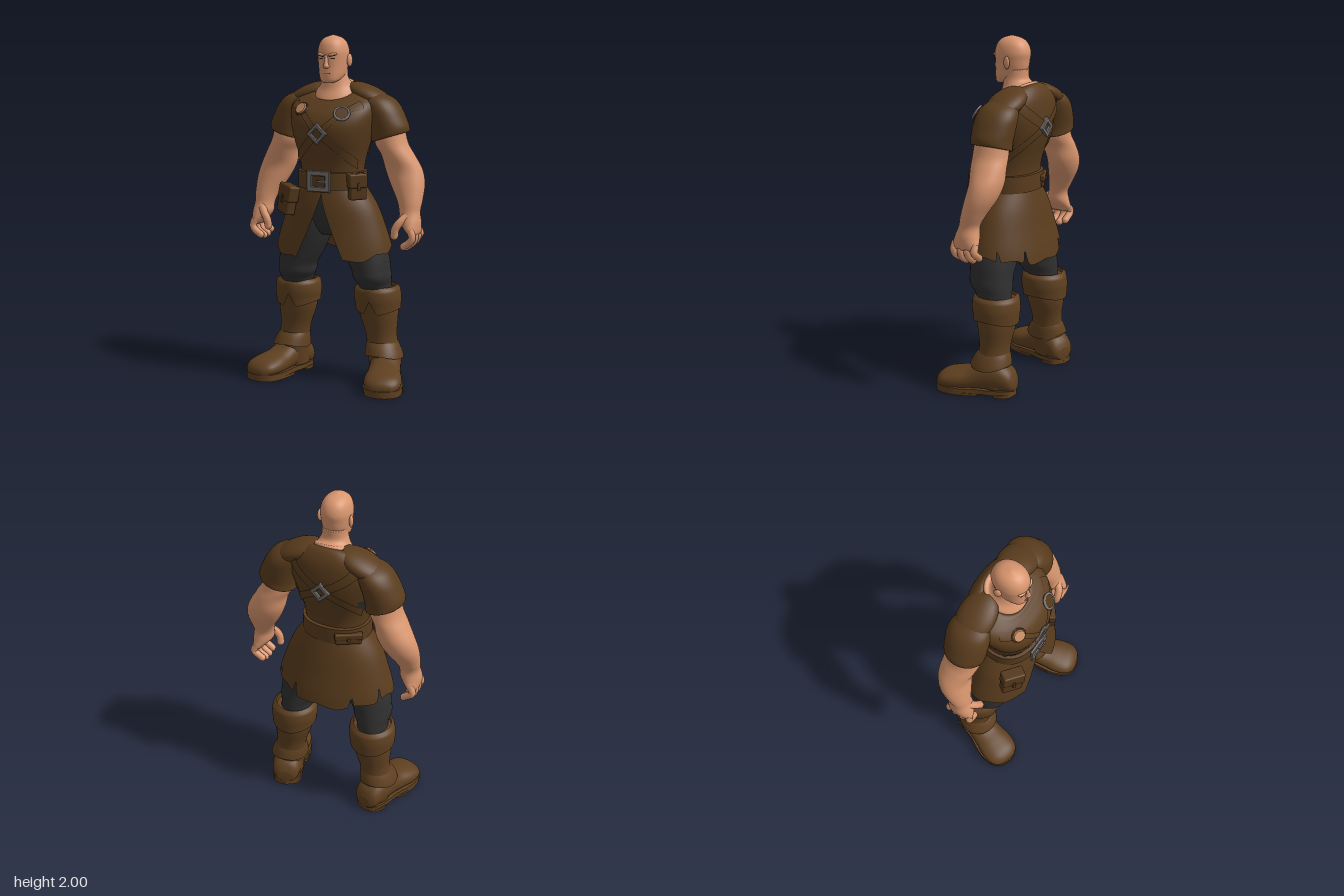
import * as THREE from 'three';
import { toCreasedNormals } from 'three/addons/utils/BufferGeometryUtils.js';
import { RoundedBoxGeometry } from 'three/addons/geometries/RoundedBoxGeometry.js';

const mat = (name, color, side = THREE.FrontSide) => Object.assign(new THREE.MeshStandardMaterial({ color, side }), { name });
const skin = mat('skin', 0xd9966f);
const tunicCloth = mat('tunic leather', 0x5a3c1d, THREE.DoubleSide);
const bootLeather = mat('boot leather', 0x5f4020, THREE.DoubleSide);
const darkLeather = mat('dark leather', 0x53371a, THREE.DoubleSide);
const cloth = mat('charcoal cloth', 0x303030, THREE.DoubleSide);
const metal = mat('grey metal', 0x787270);
const copper = mat('copper', 0xc58a62);
const dark = mat('dark hair', 0x2e1c14);
const lip = mat('lip', 0xa9664c);

// Smooth body surface through rings [x, y, z, rx, rz, slopeZ, slopeX]
function surface(rings, p = 1) {
  const n = rings.length - 1;
  const pw = (v) => Math.sign(v) * Math.abs(v) ** p;
  const ring = (t) => {
    const i = Math.min(n - 1, Math.floor(t * n)), f = t * n - i;
    const g = (k, c) => rings[Math.max(0, Math.min(n, k))][c] ?? 0;
    return [0, 1, 2, 3, 4, 5, 6].map((c) => {
      const a = g(i - 1, c), b = g(i, c), d = g(i + 1, c), e = g(i + 2, c);
      return b + 0.5 * f * (d - a + f * (2 * a - 5 * b + 4 * d - e + f * (3 * (b - d) + e - a)));
    });
  };
  const at = (t, a) => {
    const [x, y, z, rx, rz, tz, tx] = ring(t);
    const dx = rx * pw(Math.sin(a)), dz = rz * pw(Math.cos(a));
    return new THREE.Vector3(x + dx, y - tz * dz + tx * dx, z + dz);
  };
  const up = rings[n][1] > rings[0][1];
  const atY = (y, a) => {
    let lo = 0, hi = 1;
    for (let k = 0; k < 24; k++) {
      const m = (lo + hi) / 2;
      if ((ring(m)[1] < y) === up) lo = m; else hi = m;
    }
    return at(lo, a);
  };
  return { at, atY, ring, up };
}

function build(points, index) {
  const g = new THREE.BufferGeometry().setFromPoints(points);
  g.setIndex(index);
  g.computeVertexNormals();
  return g;
}

// Closed, capped body through rings
function loft(rings, { n = 32, steps = 5, p = 1 } = {}) {
  const s = surface(rings, p), rows = (rings.length - 1) * steps, pts = [], idx = [];
  const tri = (a, b, c) => (s.up ? idx.push(a, b, c) : idx.push(a, c, b));
  for (let i = 0; i <= rows; i++) for (let j = 0; j < n; j++) pts.push(s.at(i / rows, (j / n) * Math.PI * 2));
  for (const t of [0, 1]) { const r = s.ring(t); pts.push(new THREE.Vector3(r[0], r[1], r[2])); }
  const last = rows * n, c = pts.length - 2;
  for (let j = 0; j < n; j++) {
    const k = (j + 1) % n;
    for (let i = 0; i < rows; i++) {
      const a = i * n + j, b = i * n + k;
      tri(a, b, a + n);
      tri(b, b + n, a + n);
    }
    tri(c, k, j);
    tri(c + 1, last + j, last + k);
  }
  return build(pts, idx);
}

// Open sheet: fn(u, v) gives points, u and v in 0..1
function sheet(fn, cols, rows) {
  const pts = [], idx = [];
  for (let i = 0; i <= rows; i++) for (let j = 0; j <= cols; j++) pts.push(fn(j / cols, i / rows));
  for (let i = 0; i < rows; i++) for (let j = 0; j < cols; j++) {
    const a = i * (cols + 1) + j, b = a + cols + 1;
    idx.push(a, b, a + 1, a + 1, b, b + 1);
  }
  return build(pts, idx);
}

// Hanging cloth with a shaped hem and an optional opening at the front
function drape(rings, top, hem, gap = () => 0, cols = 72, rows = 10) {
  const s = surface(rings);
  return sheet((u, v) => {
    const y = THREE.MathUtils.lerp(top, hem(u * Math.PI * 2), v), g = gap(y);
    return s.atY(y, g + u * (Math.PI * 2 - 2 * g));
  }, cols, rows);
}

function tube(points, r) {
  return new THREE.TubeGeometry(new THREE.CatmullRomCurve3(points.map((q) => new THREE.Vector3(...q))), 10, r, 10);
}

function frame(w, h, t) {
  const rect = (S, a, b) => new S().moveTo(-a, -b).lineTo(a, -b).lineTo(a, b).lineTo(-a, b).closePath();
  const s = rect(THREE.Shape, w / 2, h / 2);
  s.holes.push(rect(THREE.Path, w / 2 - t, h / 2 - t));
  return new THREE.ExtrudeGeometry(s, { depth: 0.012, bevelSize: 0.004, bevelThickness: 0.004, bevelSegments: 1 });
}

function mirrored(geo) {
  const g = geo.index ? geo.toNonIndexed() : geo.clone();
  for (const a of Object.values(g.attributes)) for (let i = 0; i < a.count; i += 3) for (let k = 0; k < a.itemSize; k++) {
    const v = a.getComponent(i + 1, k);
    a.setComponent(i + 1, k, a.getComponent(i + 2, k));
    a.setComponent(i + 2, k, v);
  }
  for (const a of [g.attributes.position, g.attributes.normal]) for (let i = 0; i < a.count; i++) a.setX(i, -a.getX(i));
  return g;
}

export function createModel() {
  const model = new THREE.Group();
  model.name = 'bald warrior';
  const add = (name, geo, m, pos = [0, 0, 0], rot = [0, 0, 0]) => {
    const mesh = new THREE.Mesh(geo, m);
    mesh.name = name;
    mesh.position.set(...pos);
    mesh.rotation.set(...rot, 'YXZ');
    model.add(mesh);
  };
  const pair = (name, geo, m) => { add(name + 'Left', geo, m); add(name + 'Right', mirrored(geo), m); };

  // Head, neck and face
  add('neck', loft([[0, 1.58, -0.04, 0.13, 0.12], [0, 1.688, -0.035, 0.118, 0.116, 0.5], [0, 1.725, -0.035, 0.09, 0.085, 0.3], [0, 1.77, -0.03, 0.072, 0.07], [0, 1.82, -0.03, 0.07, 0.07]]), skin);
  add('head', loft([[0, 1.735, 0.065, 0.028, 0.024], [0, 1.75, 0.045, 0.053, 0.05], [0, 1.78, 0.012, 0.07, 0.085], [0, 1.82, 0, 0.078, 0.095], [0, 1.87, -0.004, 0.084, 0.1],
    [0, 1.91, -0.006, 0.085, 0.104], [0, 1.955, -0.005, 0.073, 0.09], [0, 1.985, -0.003, 0.047, 0.058], [0, 2, 0, 0.006, 0.008]], { p: 0.93 }), skin);
  add('nose', loft([[0, 1.89, 0.09, 0.008, 0.01], [0, 1.845, 0.097, 0.012, 0.016], [0, 1.825, 0.096, 0.018, 0.021], [0, 1.814, 0.092, 0.008, 0.008]], { n: 14 }), skin);
  add('mouth', new THREE.BoxGeometry(0.042, 0.004, 0.008), lip, [0, 1.788, 0.094]);
  pair('ear', new THREE.SphereGeometry(1, 14, 10).scale(0.012, 0.036, 0.022).rotateY(-0.3).translate(0.09, 1.86, -0.024), skin);
  pair('browRidge', new THREE.SphereGeometry(1, 12, 8).scale(0.026, 0.009, 0.012).rotateZ(0.2).rotateY(0.3).translate(0.035, 1.892, 0.088), skin);
  pair('brow', new THREE.BoxGeometry(0.038, 0.005, 0.007).rotateZ(0.22).rotateY(0.3).translate(0.035, 1.885, 0.093), dark);
  pair('eye', new THREE.BoxGeometry(0.02, 0.005, 0.006).rotateY(0.3).translate(0.035, 1.87, 0.09), dark);

  // Tunic body, shoulders and sleeves
  const torsoRings = [[0, 1.14, 0.003, 0.18, 0.145], [0, 1.25, 0.004, 0.182, 0.149], [0, 1.33, 0.004, 0.196, 0.165], [0, 1.42, 0.001, 0.222, 0.193], [0, 1.5, -0.008, 0.243, 0.205],
    [0, 1.575, -0.027, 0.258, 0.192, 0.05], [0, 1.64, -0.042, 0.245, 0.165, 0.2], [0, 1.68, -0.038, 0.18, 0.137, 0.38], [0, 1.692, -0.033, 0.118, 0.113, 0.46], [0, 1.655, -0.035, 0.1, 0.095, 0.46]];
  const torso = surface(torsoRings, 0.88);
  add('tunic', loft(torsoRings, { n: 48, p: 0.88 }), tunicCloth);
  pair('shoulderSlope', new THREE.SphereGeometry(1, 24, 16).scale(0.15, 0.055, 0.105).rotateZ(-0.42).translate(0.19, 1.66, -0.09), tunicCloth);
  pair('sleeve', loft([[0.318, 1.44, -0.082, 0.088, 0.1, 0, 0.3], [0.318, 1.432, -0.082, 0.106, 0.115, 0, 0.3], [0.316, 1.47, -0.08, 0.108, 0.118, 0, 0.24], [0.298, 1.53, -0.082, 0.106, 0.122, 0, 0.1],
    [0.27, 1.6, -0.085, 0.102, 0.12], [0.24, 1.65, -0.085, 0.086, 0.096], [0.21, 1.688, -0.085, 0.03, 0.035]]), tunicCloth);

  // Undershirt showing below the armpits
  pair('undershirtPatch', sheet((u, v) => torso.atY(1.44 - v * 0.085, Math.PI - 1.1 + (u - 0.5) * 0.5 * (1 - 0.7 * v))
    .add(new THREE.Vector3(0.003, 0, -0.003)), 8, 5), cloth);

  // Crossed straps, front and back
  const strap = (pts) => {
    const c = new THREE.CatmullRomCurve3(pts.map(([a, y]) => new THREE.Vector3(a, y, 0)));
    return sheet((u, v) => {
      const q = c.getPoint(u), s = torso.atY(q.y + (v - 0.5) * 0.055, q.x);
      return s.add(new THREE.Vector3(Math.sin(q.x), 0.2, Math.cos(q.x)).multiplyScalar(0.008));
    }, 30, 3);
  };
  for (const s of [1, -1]) {
    add('chestStrap', strap([[-0.95 * s, 1.64], [-0.5 * s, 1.6], [0, 1.46], [0.55 * s, 1.355], [1.2 * s, 1.28]]), tunicCloth);
    add('backStrap', strap([[Math.PI - 0.8 * s, 1.63], [Math.PI, 1.51], [Math.PI + 1.1 * s, 1.34]]), tunicCloth);
  }
  add('chestBuckle', frame(0.08, 0.08, 0.014).rotateZ(Math.PI / 4), metal, [-0.008, 1.46, 0.2], [0.05, 0, 0]);
  add('backBuckle', frame(0.075, 0.075, 0.014).rotateZ(Math.PI / 4), metal, [0, 1.51, -0.222], [0, Math.PI, 0]);
  const left = torso.atY(1.585, 0.44), right = torso.atY(1.61, -0.5);
  add('ringBrooch', new THREE.TorusGeometry(0.041, 0.007, 8, 24), metal, [left.x, left.y, left.z + 0.013], [-0.6, 0.35, 0]);
  add('ringBroochCentre', new THREE.CylinderGeometry(0.038, 0.042, 0.014, 24).rotateX(Math.PI / 2), darkLeather, [left.x, left.y, left.z + 0.009], [-0.6, 0.35, 0]);
  add('copperBrooch', new THREE.CylinderGeometry(0.032, 0.041, 0.022, 24).rotateX(Math.PI / 2), copper, [right.x, right.y, right.z + 0.014], [-0.6, -0.35, 0]);
  add('copperBroochRim', new THREE.TorusGeometry(0.038, 0.005, 8, 24), darkLeather, [right.x, right.y, right.z + 0.012], [-0.6, -0.35, 0]);

  // Belt, buckle and pouches
  const beltRing = (y, d) => [0, y, 0.005, 0.188 + d, 0.158 + d];
  add('belt', toCreasedNormals(loft([beltRing(1.138, -0.02), beltRing(1.142, 0.01), beltRing(1.238, 0.01), beltRing(1.242, -0.02)], { n: 48, steps: 1, p: 0.9 }), 0.7), tunicCloth);
  add('beltBuckle', frame(0.132, 0.112, 0.022), metal, [-0.008, 1.192, 0.178]);
  add('buckleProng', new THREE.BoxGeometry(0.07, 0.012, 0.012), metal, [0.02, 1.192, 0.19]);
  const pouch = (name, w, h, d, pos, rot) => {
    const g = new THREE.Group();
    g.name = name;
    const body = new THREE.Mesh(new RoundedBoxGeometry(w, h, d, 2, 0.012), darkLeather);
    const flap = new THREE.Mesh(new RoundedBoxGeometry(w + 0.008, h * 0.55, d + 0.01, 2, 0.01), darkLeather);
    const tab = new THREE.Mesh(new RoundedBoxGeometry(0.018, h * 0.3, 0.01, 1, 0.003), darkLeather);
    flap.position.y = h * 0.24;
    tab.position.set(0, h * 0.02, d / 2 + 0.006);
    [body, flap, tab].forEach((m, i) => { m.name = ['pouchBody', 'pouchFlap', 'pouchTab'][i]; g.add(m); });
    g.position.set(...pos);
    g.rotation.set(...rot, 'YXZ');
    model.add(g);
  };
  pouch('largePouch', 0.122, 0.165, 0.06, [-0.218, 1.075, 0.15], [-0.12, -0.6, -0.15]);
  pouch('smallPouch', 0.098, 0.145, 0.055, [0.2, 1.165, 0.12], [0, 0.7, 0.03]);
  pouch('backPouch', 0.15, 0.07, 0.03, [-0.125, 1.18, -0.128], [0, Math.PI + 0.5, 0]);

  // Split skirt with a ragged hem
  const tooth = (a) => 0.022 * Math.abs(((a * 2.6) % 2) - 1);
  const slit = (a, c) => Math.max(0, 0.08 - Math.abs(a - c) * 1.6);
  add('skirt', drape([[0, 1.16, 0.003, 0.19, 0.155], [0, 1.05, 0, 0.264, 0.182], [0, 0.92, -0.008, 0.315, 0.203], [0, 0.8, -0.015, 0.35, 0.224], [0, 0.68, -0.018, 0.365, 0.238]], 1.16,
    (a) => 0.735 + 0.055 * Math.sin(a) ** 2 + tooth(a) + [1.9, 2.55, 3.75, 4.4].reduce((s, c) => s + slit(a, c), 0),
    (y) => Math.max(0, (1.11 - y) * 1.15), 160, 14), tunicCloth);

  // Trousers
  add('hips', loft([[0, 0.87, -0.01, 0.08, 0.09], [0, 0.93, -0.01, 0.15, 0.125], [0, 1.05, 0, 0.19, 0.145], [0, 1.16, 0, 0.16, 0.13]]), cloth);
  pair('trouserLeg', loft([[0.1, 1.08, -0.01, 0.09, 0.12], [0.135, 0.95, -0.01, 0.125, 0.135], [0.17, 0.85, -0.012, 0.138, 0.136], [0.206, 0.75, -0.015, 0.128, 0.133], [0.23, 0.68, -0.016, 0.112, 0.13],
    [0.238, 0.63, -0.02, 0.109, 0.128], [0.246, 0.58, -0.04, 0.092, 0.11], [0.25, 0.5, -0.06, 0.09, 0.09]]), cloth);

  // Boots
  pair('bootShaft', loft([[0.25, 0.55, -0.06, 0.112, 0.118], [0.255, 0.48, -0.065, 0.116, 0.116], [0.26, 0.4, -0.07, 0.113, 0.11], [0.275, 0.29, -0.07, 0.092, 0.091], [0.288, 0.2, -0.07, 0.092, 0.093],
    [0.293, 0.1, -0.08, 0.09, 0.1], [0.293, 0.04, -0.085, 0.085, 0.1]]), bootLeather);
  pair('bootCuff', drape([[0.252, 0.578, -0.06, 0.1, 0.105], [0.252, 0.568, -0.062, 0.128, 0.13], [0.254, 0.51, -0.064, 0.138, 0.138], [0.256, 0.46, -0.066, 0.133, 0.134], [0.257, 0.38, -0.067, 0.127, 0.128]], 0.577,
    (a) => 0.418 + 0.026 * Math.sin(a) ** 2 + Math.max(0, 0.08 - Math.min(a, Math.PI * 2 - a) * 0.26)), bootLeather);
  pair('ankleFlap', drape([[0.282, 0.25, -0.07, 0.086, 0.088], [0.288, 0.22, -0.064, 0.098, 0.106], [0.298, 0.17, -0.057, 0.11, 0.124], [0.302, 0.12, -0.05, 0.114, 0.132]], 0.25,
    (a) => 0.18 - 0.025 * Math.sin(a) ** 2), bootLeather);
  const onFoot = (g) => g.rotateY(0.3).translate(0.3, 0, -0.084);
  pair('bootFoot', onFoot(loft([[0, -0.128, -0.065, 0.045, 0.035], [0, -0.1, -0.085, 0.078, 0.068], [0, -0.03, -0.105, 0.09, 0.09], [0, 0.06, -0.1, 0.09, 0.085], [0, 0.14, -0.08, 0.096, 0.068],
    [0, 0.22, -0.07, 0.108, 0.06], [0, 0.29, -0.062, 0.1, 0.049], [0, 0.33, -0.05, 0.066, 0.034], [0, 0.343, -0.045, 0.02, 0.012]], { p: 0.9 }).rotateX(Math.PI / 2)), bootLeather);
  // Sole layers from a half outline [x, z]
  const sole = (pts, depth, y) => onFoot(new THREE.ExtrudeGeometry(new THREE.Shape(new THREE.SplineCurve(
    [...pts, ...pts.slice(0, -1).reverse().map(([x, z]) => [-x, z])].map((q) => new THREE.Vector2(...q))).getPoints(48)), { depth, bevelEnabled: false }).rotateX(Math.PI / 2).translate(0, depth + y, 0));
  pair('bootSole', sole([[-0.001, -0.127], [0.07, -0.1], [0.09, 0], [0.092, 0.08], [0.113, 0.2], [0.1, 0.29], [0.06, 0.335], [0, 0.35]], 0.028, 0.012), bootLeather);
  pair('bootHeel', sole([[0.001, -0.127], [0.07, -0.1], [0.088, -0.02], [0.001, 0.01]], 0.018, 0), bootLeather);
  pair('bootTread', sole([[0.001, 0.07], [0.092, 0.09], [0.112, 0.2], [0.098, 0.29], [0.06, 0.333], [0.001, 0.347]], 0.015, 0), bootLeather);

  // Arms and hands
  pair('arm', loft([[0.31, 1.5, -0.08, 0.085, 0.095], [0.325, 1.4, -0.08, 0.094, 0.1], [0.362, 1.33, -0.09, 0.095, 0.1], [0.394, 1.25, -0.1, 0.108, 0.092], [0.423, 1.17, -0.084, 0.1, 0.086],
    [0.45, 1.08, -0.05, 0.073, 0.068], [0.458, 1.02, -0.03, 0.06, 0.058], [0.466, 0.965, -0.022, 0.06, 0.072], [0.485, 0.915, -0.022, 0.038, 0.082], [0.492, 0.893, -0.024, 0.022, 0.07]]), skin);
  [0.044, 0, -0.044, -0.086].forEach((z, i) => {
    const d = [0.01, 0, 0.004, 0.022][i];
    pair('finger' + (i + 1), tube([[0.485, 0.93, z], [0.501, 0.885, z * 1.05], [0.488, 0.85 + d, z * 1.05], [0.45, 0.822 + d, z]], 0.021), skin);
    pair('fingertip' + (i + 1), new THREE.SphereGeometry(0.021, 10, 8).translate(0.45, 0.822 + d, z), skin);
  });
  pair('thumb', tube([[0.455, 1.0, 0.015], [0.425, 0.965, 0.045], [0.403, 0.93, 0.053], [0.396, 0.89, 0.05]], 0.023), skin);
  pair('thumbTip', new THREE.SphereGeometry(0.023, 10, 8).translate(0.396, 0.89, 0.05), skin);
  return model;
}
